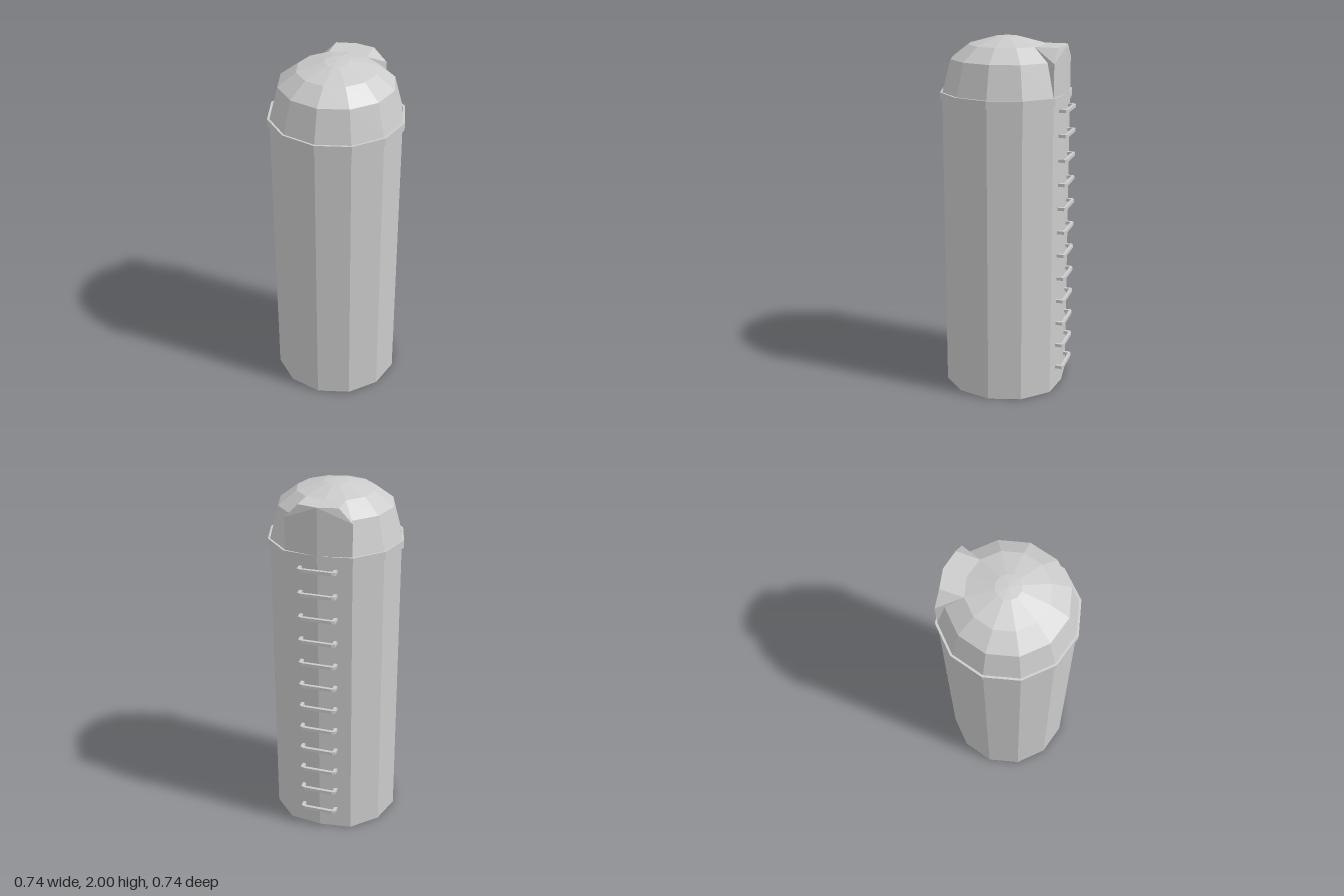
import * as THREE from 'three';

const mat = new THREE.MeshStandardMaterial({ color: 0xcccccc, flatShading: true, side: THREE.DoubleSide });
const SIDES = 12;

function add(group, name, geometry) {
  const mesh = new THREE.Mesh(geometry, mat);
  mesh.name = name;
  group.add(mesh);
  return mesh;
}

// Lathe from [radius, height] pairs; angle 0 points to the front
function lathe(profile, segments = SIDES, start = 0) {
  const pts = profile.map(([r, y]) => new THREE.Vector2(r, y));
  return new THREE.LatheGeometry(pts, segments, start, (segments / SIDES) * Math.PI * 2);
}

// Pull the rearmost corner inwards so the ladder side is nearly flat
function flattenBack(geometry, radius, z) {
  const p = geometry.attributes.position;
  for (let i = 0; i < p.count; i++) if (p.getZ(i) < -radius * 0.95) p.setZ(i, z);
  geometry.computeVertexNormals();
  return geometry;
}

// Hood faces for one half, mirrored to the other
function hoodGeometry() {
  const M = [0, 1.955, -0.213], T = [0, 1.955, -0.335], G = [0, 1.7, -0.335];
  const A = [0.1065, 1.955, -0.1845], B = [0.107, 1.955, -0.312];
  const C = [0.18, 1.88, -0.312], D = [0.156, 1.88, -0.27], E = [0.18, 1.7, -0.312];
  const faces = [
    [M, A, B], [M, B, T],            // flat top
    [A, D, C], [A, C, B], [D, E, C], // cheek
    [T, B, C], [T, C, E], [T, E, G], // back wall
  ];
  const out = [];
  for (const [a, b, c] of faces) {
    out.push(...a, ...b, ...c);
    for (const [x, y, z] of [a, c, b]) out.push(-x, y, z);
  }
  const g = new THREE.BufferGeometry();
  g.setAttribute('position', new THREE.Float32BufferAttribute(out, 3));
  g.computeVertexNormals();
  return g;
}

// U-shaped rung with chamfered outer corners, lying flat
function rungGeometry() {
  const outline = [
    [-0.103, 0.31], [-0.085, 0.31], [-0.085, 0.352], [0.085, 0.352], [0.085, 0.31],
    [0.103, 0.31], [0.103, 0.36], [0.085, 0.369], [-0.085, 0.369], [-0.103, 0.36],
  ];
  const shape = new THREE.Shape(outline.map(([x, y]) => new THREE.Vector2(x, y)));
  const g = new THREE.ExtrudeGeometry(shape, { depth: 0.018, bevelEnabled: false });
  return g.rotateX(-Math.PI / 2).translate(0, -0.009, 0);
}

export function createModel() {
  const group = new THREE.Group();
  group.name = 'silo';
  const silo = new THREE.Group();
  silo.name = 'siloParts';
  silo.position.z = -0.003;
  group.add(silo);

  // Open-bottomed body
  add(silo, 'body', flattenBack(lathe([[0.36, 0], [0.36, 1.7]]), 0.36, -0.335));

  // Rim band
  const rim = lathe([[0.36, 1.66], [0.372, 1.66], [0.372, 1.703], [0.36, 1.703]]);
  add(silo, 'rim', flattenBack(rim, 0.36, -0.349));

  // Dome: full cap, and a skirt left open where the hood sits
  add(silo, 'domeCap', lathe([[0.213, 1.955], [0.067, 1.995], [0, 2]]));
  add(silo, 'domeSkirt', lathe([[0.36, 1.7], [0.312, 1.88], [0.213, 1.955]], 10, Math.PI * 7 / 6));

  add(silo, 'hood', hoodGeometry());

  // Ladder up the back
  const ladder = new THREE.Group();
  ladder.name = 'ladder';
  const rung = rungGeometry();
  for (let i = 0; i < 12; i++) add(ladder, 'rung', rung).position.y = 0.125 + i * 0.136;
  silo.add(ladder);

  return group;
}
